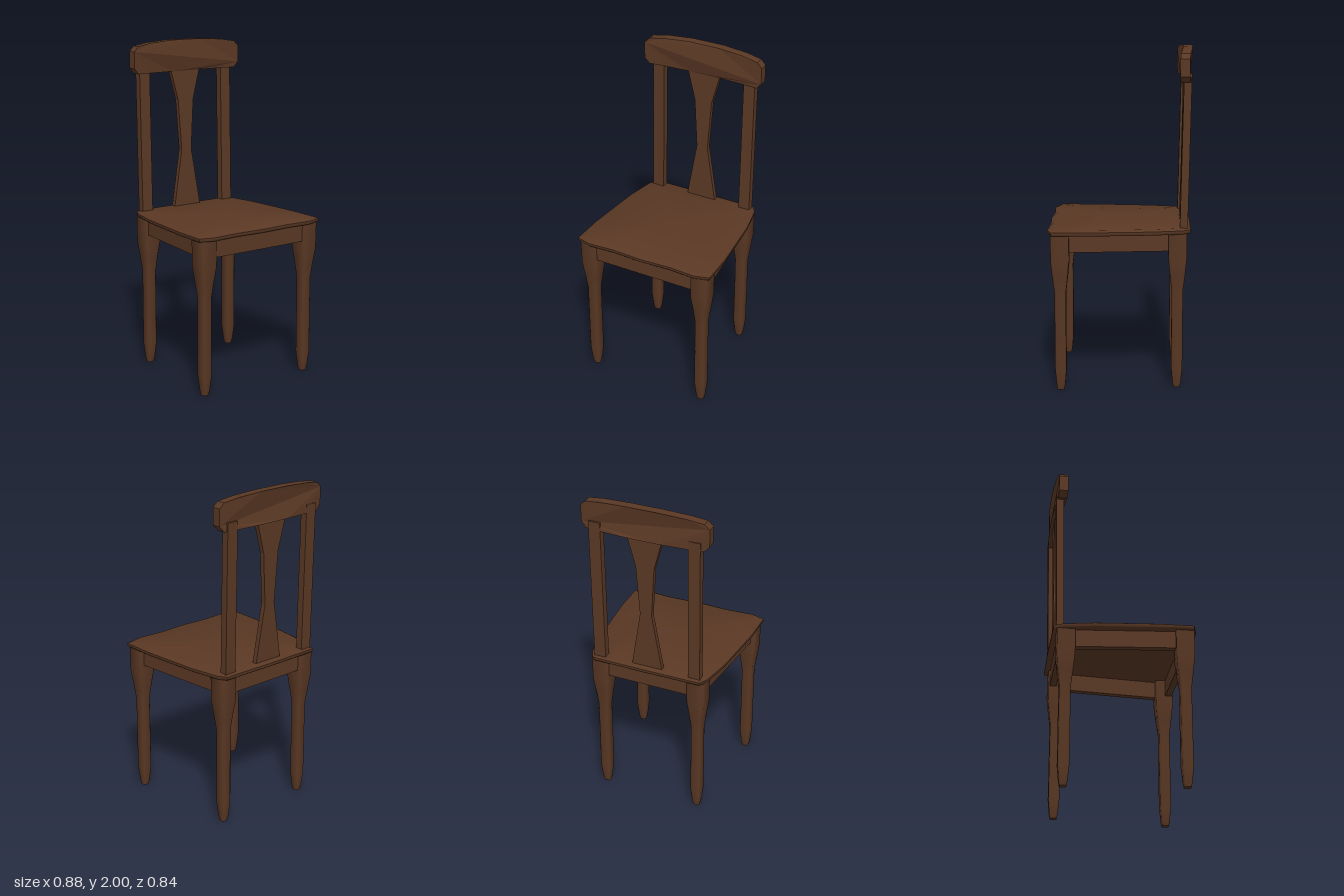
import * as THREE from 'three';
import { toCreasedNormals } from 'three/addons/utils/BufferGeometryUtils.js';

const wood = new THREE.MeshStandardMaterial({ color: 0x5a3824 });
wood.name = 'dark brown wood';

function add(group, name, geometry) {
  const mesh = new THREE.Mesh(geometry, wood);
  mesh.name = name;
  group.add(mesh);
  return mesh;
}

// Solid skin through stacked rings (bottom to top, counter-clockwise from above), closed by fans
function loft(rings, bottom, top, crease) {
  const n = rings[0].length;
  const pos = [...rings.flat(), bottom, top].flat();
  const b = rings.length * n, t = b + 1, last = b - n;
  const index = [];
  for (let i = 0; i < n; i++) {
    const j = (i + 1) % n;
    for (let r = 0; r < rings.length - 1; r++) {
      const lo = r * n, hi = lo + n;
      index.push(lo + i, lo + j, hi + j, lo + i, hi + j, hi + i);
    }
    index.push(b, j, i, t, last + i, last + j);
  }
  const g = new THREE.BufferGeometry();
  g.setAttribute('position', new THREE.Float32BufferAttribute(pos, 3));
  g.setIndex(index);
  return toCreasedNormals(g, crease);
}

// Square ring with cut corners, half-width w, cut c
function ring(y, w, c) {
  const k = w - c;
  return [[w, k], [k, w], [-k, w], [-w, k], [-w, -k], [-k, -w], [k, -w], [w, -k]]
    .map(([x, z]) => [x, y, -z]);
}

// Symmetric outline: the right half from bottom to top, mirrored to the left
function mirroredShape(half) {
  const left = half.map(([x, y]) => [-x, y]).reverse();
  return new THREE.Shape([...half, ...left].map(([x, y]) => new THREE.Vector2(x, y)));
}

// Move vertices front to back by a rule
function shiftZ(geometry, rule) {
  const p = geometry.attributes.position;
  for (let i = 0; i < p.count; i++) p.setZ(i, p.getZ(i) + rule(p.getX(i), p.getY(i)));
  geometry.computeVertexNormals();
  return geometry;
}

const lean = (x, y) => -0.016 * (y - 0.96) / 0.85;

export function createModel() {
  const chair = new THREE.Group();
  chair.name = 'chair';

  // Seat with a wavy front edge and softly rounded rim
  const half = [[0.35, 0.42], [0.44, 0.395], [0.438, 0.19], [0.405, -0.18], [0.37, -0.36], [0.34, -0.412]];
  const outline = [[0, 0.42], [0.19, 0.41], ...half, [0, -0.415],
    ...half.map(([x, z]) => [-x, z]).reverse(), [-0.19, 0.41]];
  const seatRing = (y, s) => outline.map(([x, z]) => [x * s, y, z * s]);
  add(chair, 'seat', loft(
    [seatRing(0.935, 0.985), seatRing(0.942, 1), seatRing(0.957, 1), seatRing(0.968, 0.95)],
    [0, 0.935, 0], [0, 0.968, 0], 0.9));

  // Legs: square head, long taper, narrow shaft and pointed foot
  const legGeometry = loft([
    ring(0, 0.02, 0.008), ring(0.03, 0.025, 0.009), ring(0.12, 0.033, 0.009), ring(0.59, 0.033, 0.009),
    ring(0.68, 0.044, 0.012), ring(0.78, 0.053, 0.006), ring(0.937, 0.053, 0.003),
  ], [0, 0, 0], [0, 0.937, 0], 0.85);
  for (const s of [1, -1]) {
    const side = s > 0 ? 'left' : 'right';
    add(chair, side + 'FrontLeg', legGeometry).position.set(s * 0.37, 0, 0.345);
    add(chair, side + 'BackLeg', legGeometry).position.set(s * 0.305, 0, -0.338);

    // Side rail running between the legs
    const rail = add(chair, side + 'SeatRail', new THREE.BoxGeometry(0.04, 0.105, 0.66));
    rail.position.set(s * 0.348, 0.8835, 0.003);
    rail.rotation.y = s * Math.atan2(0.065, 0.683);

    // Leaning back post
    const post = new THREE.BoxGeometry(0.072, 0.91, 0.045);
    post.translate(s * 0.3, 1.405, -0.3725);
    add(chair, side + 'BackPost', shiftZ(post, lean));
  }

  // Front and back seat rails
  add(chair, 'frontSeatRail', new THREE.BoxGeometry(0.66, 0.105, 0.04)).position.set(0, 0.8835, 0.37);
  add(chair, 'backSeatRail', new THREE.BoxGeometry(0.54, 0.105, 0.04)).position.set(0, 0.8835, -0.36);

  // Waisted centre splat
  const splat = new THREE.ExtrudeGeometry(
    mirroredShape([[0.097, 0.955], [0.036, 1.32], [0.056, 1.63], [0.104, 1.81], [0.108, 1.85]]),
    { depth: 0.03, bevelEnabled: false });
  splat.translate(0, 0, -0.386);
  add(chair, 'backSplat', shiftZ(splat, lean));

  // Curved crest rail, its upper edge tipping backward
  const crest = new THREE.ExtrudeGeometry(
    mirroredShape([[0.1, 1.81], [0.25, 1.81], [0.355, 1.81], [0.385, 1.845], [0.385, 1.945],
      [0.355, 1.975], [0.26, 1.99], [0.1, 2]]),
    { depth: 0.055, bevelEnabled: false });
  crest.translate(0, 0, -0.424);
  add(chair, 'crestRail', shiftZ(crest, (x) => 0.025 * (x / 0.385) ** 2));

  return chair;
}
